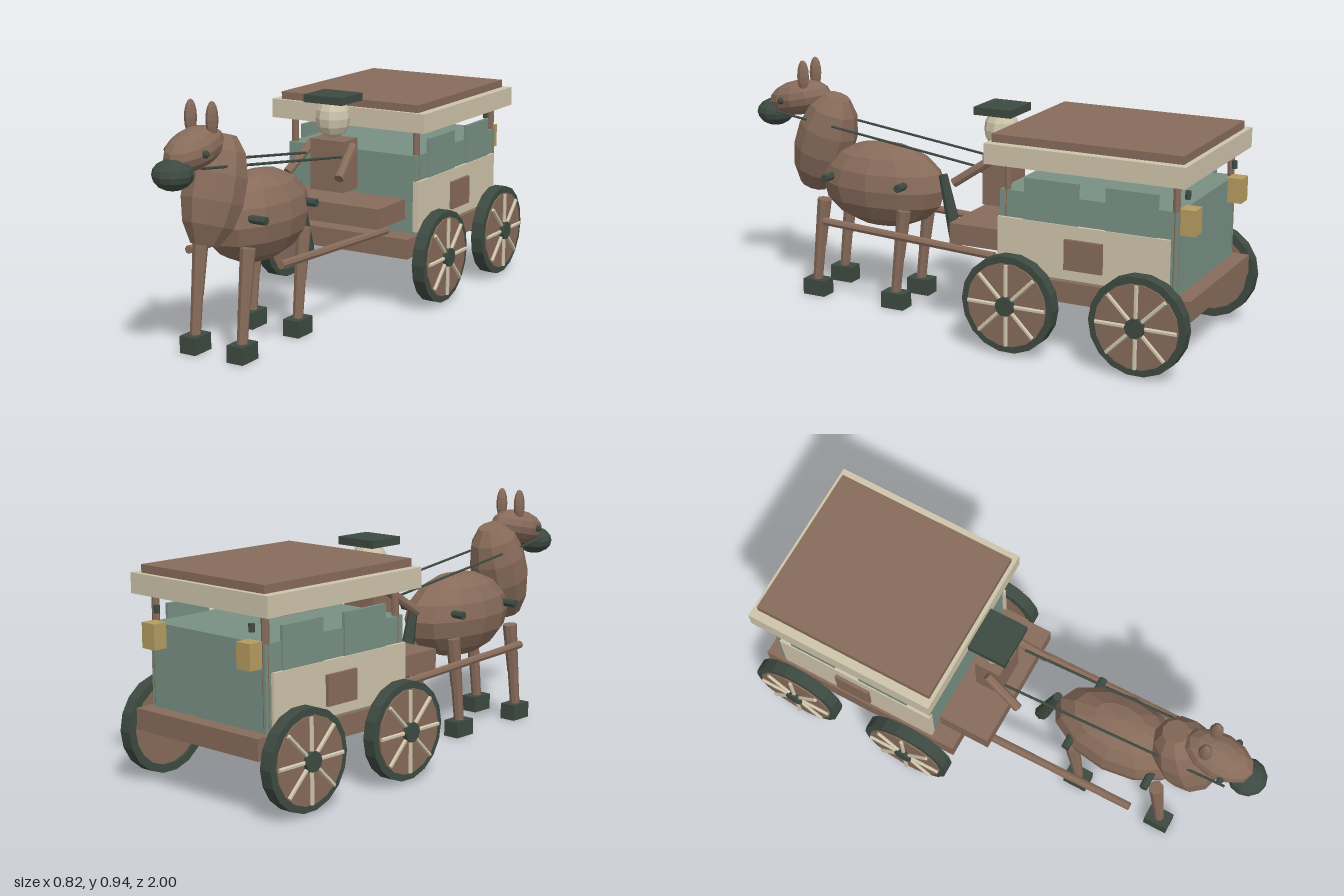
import * as THREE from 'three';

export function createModel() {
  const root = new THREE.Group();
  root.name = 'horseCarriage';

  const paint = (name, color) => {
    const m = new THREE.MeshStandardMaterial({ color });
    m.name = name;
    return m;
  };
  const brown = paint('brown', 0x876b5a);
  const teal = paint('teal', 0x789084);
  const dark = paint('darkGreen', 0x3d4a41);
  const cream = paint('cream', 0xcec4aa);
  const gold = paint('gold', 0xb59c60);

  // Faceted mesh helper
  const add = (name, geo, mat, parent = root) => {
    const flat = geo.index ? geo.toNonIndexed() : geo;
    flat.computeVertexNormals();
    const mesh = new THREE.Mesh(flat, mat);
    mesh.name = name;
    parent.add(mesh);
    return mesh;
  };
  // Box given by its min and max on each axis
  const box = (name, mat, [x0, x1], [y0, y1], [z0, z1], parent) => {
    const m = add(name, new THREE.BoxGeometry(x1 - x0, y1 - y0, z1 - z0), mat, parent);
    m.position.set((x0 + x1) / 2, (y0 + y1) / 2, (z0 + z1) / 2);
    return m;
  };
  // Tapered rod from point a to point b
  const rod = (name, mat, a, b, ra, rb = ra, sides = 8, parent) => {
    const p = new THREE.Vector3(...a), q = new THREE.Vector3(...b);
    const d = q.clone().sub(p);
    const m = add(name, new THREE.CylinderGeometry(rb, ra, d.length(), sides), mat, parent);
    m.position.copy(p).add(q).multiplyScalar(0.5);
    m.quaternion.setFromUnitVectors(new THREE.Vector3(0, 1, 0), d.normalize());
    return m;
  };
  const blob = (name, mat, pos, radii, w = 10, h = 8, parent) => {
    const m = add(name, new THREE.SphereGeometry(1, w, h).scale(...radii), mat, parent);
    m.position.set(...pos);
    return m;
  };
  const group = (name) => {
    const g = new THREE.Group();
    g.name = name;
    root.add(g);
    return g;
  };

  // Carriage body, seat and roof
  const carriage = group('carriage');
  box('chassis', brown, [-0.31, 0.31], [0.21, 0.288], [-0.985, -0.14], carriage);
  box('cabin', teal, [-0.29, 0.29], [0.288, 0.595], [-0.925, -0.24], carriage);
  box('driverSeat', brown, [-0.255, 0.255], [0.348, 0.427], [-0.22, -0.012], carriage);
  box('roof', cream, [-0.345, 0.345], [0.695, 0.77], [-0.965, -0.2], carriage);
  box('roofTop', brown, [-0.31, 0.31], [0.77, 0.8], [-0.945, -0.215], carriage);
  box('ceilingBox', brown, [-0.135, 0.135], [0.635, 0.695], [-0.69, -0.48], carriage);

  for (const s of [-1, 1]) {
    const span = (a, b) => (s > 0 ? [a, b] : [-b, -a]);
    // Side panels
    box('sidePanel', cream, span(0.28, 0.302), [0.295, 0.495], [-0.9, -0.236], carriage);
    box('sidePlaque', brown, span(0.3, 0.315), [0.335, 0.447], [-0.652, -0.505], carriage);
    box('frontCurtain', teal, span(0.283, 0.297), [0.495, 0.65], [-0.55, -0.338], carriage);
    box('rearCurtain', teal, span(0.283, 0.297), [0.495, 0.65], [-0.85, -0.655], carriage);
    // Roof posts
    for (const z of [-0.265, -0.912])
      rod('roofPost', brown, [s * 0.277, 0.3, z], [s * 0.277, 0.7, z], 0.014, 0.014, 8, carriage);
    // Rear lanterns
    box('lantern', gold, span(0.208, 0.274), [0.51, 0.603], [-0.98, -0.922], carriage);
    rod('lanternCap', dark, [s * 0.24, 0.633, -0.938], [s * 0.24, 0.662, -0.938], 0.011, 0.011, 8, carriage);
    // Shafts
    rod('shaft', brown, [s * 0.2, 0.305, -0.17], [s * 0.2, 0.34, 0.576], 0.016, 0.016, 8, carriage);
  }

  // Wheels and axles
  const rimProfile = [[0.153, -0.025], [0.183, -0.025], [0.183, 0.025], [0.153, 0.025], [0.153, -0.025]]
    .map(([r, y]) => new THREE.Vector2(r, y));
  for (const z of [-0.316, -0.818]) {
    const y = 0.193;
    rod('axle', dark, [-0.34, y, z], [0.34, y, z], 0.024, 0.024, 8, carriage);
    for (const s of [-1, 1]) {
      const wheel = group('wheel');
      wheel.position.set(0, y, z);
      const rim = add('tyre', new THREE.LatheGeometry(rimProfile, 18), dark, wheel);
      rim.rotation.z = Math.PI / 2;
      rim.position.x = s * 0.36;
      rod('wheelDisc', brown, [s * 0.345, 0, 0], [s * 0.391, 0, 0], 0.157, 0.157, 18, wheel);
      rod('hub', dark, [s * 0.312, 0, 0], [s * 0.409, 0, 0], 0.037, 0.037, 10, wheel);
      for (let i = 0; i < 8; i++) {
        const a = (i * Math.PI) / 4;
        rod('spoke', cream, [s * 0.395, 0, 0],
          [s * 0.395, 0.153 * Math.sin(a), 0.153 * Math.cos(a)], 0.008, 0.008, 6, wheel);
      }
    }
  }

  // Driver
  const driver = group('driver');
  box('torso', brown, [-0.075, 0.075], [0.46, 0.66], [-0.16, -0.056], driver);
  blob('driverHead', cream, [0, 0.742, -0.1], [0.068, 0.083, 0.068], 10, 8, driver);
  box('hat', dark, [-0.086, 0.086], [0.805, 0.835], [-0.178, -0.024], driver);
  for (const s of [-1, 1]) {
    rod('arm', brown, [s * 0.09, 0.64, -0.1], [s * 0.115, 0.54, 0.045], 0.018, 0.018, 8, driver);
    rod('rein', dark, [s * 0.08, 0.607, -0.03], [s * 0.078, 0.725, 0.87], 0.005, 0.005, 6, driver);
  }

  // Horse body and neck
  const horse = group('horse');
  blob('horseBody', brown, [0, 0.466, 0.42], [0.148, 0.17, 0.272], 12, 8, horse);
  const neckProfile = [[0, 0], [0.055, 0], [0.1, 0.07], [0.122, 0.155], [0.122, 0.25], [0.098, 0.335], [0.052, 0.392], [0, 0.392]]
    .map(([r, y]) => new THREE.Vector2(r, y));
  const neck = add('neck', new THREE.LatheGeometry(neckProfile, 10).scale(0.92, 1, 1), brown, horse);
  neck.position.set(0, 0.423, 0.752);
  neck.rotation.x = -0.32;

  // Head
  const head = blob('horseHead', brown, [0, 0.775, 0.805], [0.084, 0.07, 0.14], 12, 8, horse);
  head.rotation.x = 0.2;
  blob('muzzle', dark, [0, 0.706, 0.926], [0.073, 0.055, 0.074], 12, 8, horse);
  for (const s of [-1, 1]) {
    blob('eye', dark, [s * 0.079, 0.77, 0.847], [0.014, 0.014, 0.014], 8, 6, horse);
    blob('ear', brown, [s * 0.045, 0.872, 0.76], [0.02, 0.064, 0.026], 8, 8, horse);
  }

  // Legs, each leaning slightly forward
  for (const s of [-1, 1]) {
    for (const z of [0.635, 0.272]) {
      const x = s * 0.102;
      rod('upperLeg', brown, [x, 0.205, z + 0.025], [x, 0.4, z], 0.023, 0.029, 8, horse);
      rod('lowerLeg', brown, [x, 0.055, z + 0.042], [x, 0.215, z + 0.025], 0.02, 0.022, 8, horse);
      box('hoof', dark, [x - 0.034, x + 0.034], [0, 0.064], [z - 0.008, z + 0.09], horse);
    }
  }

  // Harness pegs and tail
  for (const z of [0.6, 0.27])
    rod('harnessPeg', dark, [-0.157, 0.497, z], [0.157, 0.497, z], 0.016, 0.016, 8, horse);
  rod('tail', dark, [0, 0.532, 0.155], [0, 0.257, 0.09], 0.018, 0.03, 8, horse);

  return root;
}
